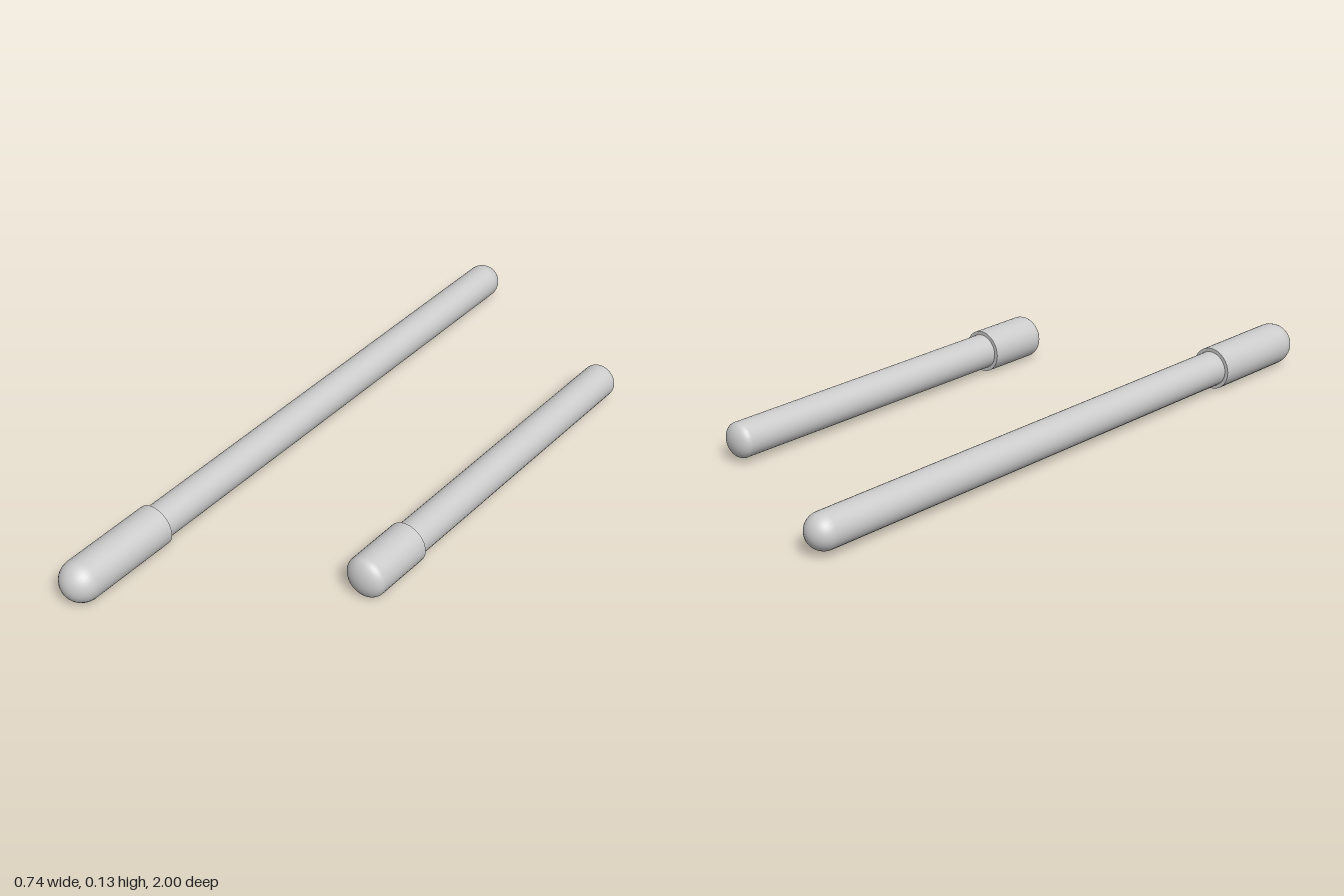
import * as THREE from 'three';

const SIDES = 32;
const BODY_R = 0.053;
const CAP_R = 0.064;
const CAP_START = 0.64;
const material = new THREE.MeshStandardMaterial({ color: 0xcccccc });

// Quarter-circle profile of a dome, from angle a0 to a1 (radius, height)
function domeArc(radius, centre, a0, a1, steps = 10) {
  return Array.from({ length: steps + 1 }, (_, i) => {
    const a = THREE.MathUtils.lerp(a0, a1, i / steps);
    return new THREE.Vector2(Math.max(0, radius * Math.cos(a)), centre + radius * Math.sin(a));
  });
}

// Revolve a profile around the z axis
function turned(name, points) {
  const mesh = new THREE.Mesh(new THREE.LatheGeometry(points, SIDES).rotateX(Math.PI / 2), material);
  mesh.name = name;
  return mesh;
}

// Round stick with a wider capped end towards +z
function makeStick(name, x, z, lengthScale) {
  const stick = new THREE.Group();
  stick.name = name;

  // Shaft with its domed back end
  stick.add(turned('shaft', [
    ...domeArc(BODY_R, -1 + BODY_R, -Math.PI / 2, 0),
    new THREE.Vector2(BODY_R, CAP_START + 0.01),
  ]));

  // Wider cap with its domed front end
  stick.add(turned('cap', [
    new THREE.Vector2(CAP_R, CAP_START),
    ...domeArc(CAP_R, 1 - CAP_R, 0, Math.PI / 2),
  ]));

  // Flat step between shaft and cap, facing back
  const rim = new THREE.Mesh(new THREE.RingGeometry(BODY_R - 0.002, CAP_R, SIDES).rotateY(Math.PI), material);
  rim.name = 'capRim';
  rim.position.z = CAP_START;
  stick.add(rim);

  stick.position.set(x, CAP_R, z);
  stick.scale.z = lengthScale;
  return stick;
}

export function createModel() {
  const model = new THREE.Group();
  model.name = 'stickPair';
  model.add(makeStick('longStick', -0.304, 0, 1));
  model.add(makeStick('shortStick', 0.304, -0.126, 0.615));
  return model;
}
